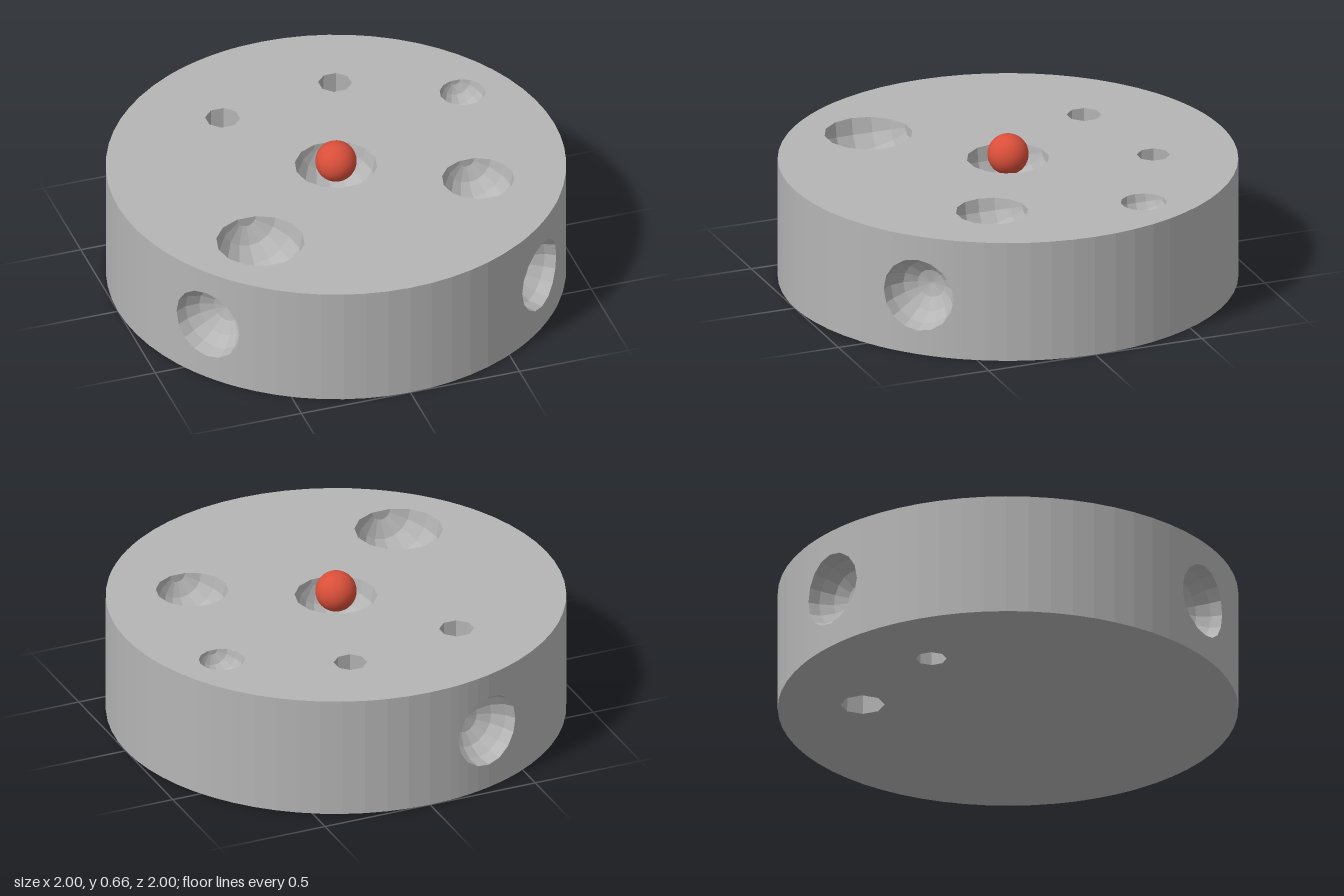
import * as THREE from 'three';

const H = 0.55; // disc height
const SIDES = 64;
const RIM_DENT = { r: 0.165, y: 0.275, n: 16 };
const RIM_DENT_ANGLES = [Math.atan2(0.7, 0.71), Math.atan2(-0.8, 0.6), Math.atan2(-0.3, -0.95)];
// x, z, radius of the bowls sunk into the top
const BOWLS = [[0, 0, 0.18], [-0.5, 0.45, 0.193], [0.55, 0.3, 0.158], [0.7, -0.35, 0.1]];
// x, z, top radius, bottom radius of the tapered through holes
const HOLES = [[0.2, -0.6, 0.073, 0.096], [-0.35, -0.5, 0.076, 0.067]];

const grey = new THREE.MeshStandardMaterial({ color: 0xb5b5b5, flatShading: true, side: THREE.DoubleSide });
grey.name = 'stone grey';
const red = new THREE.MeshStandardMaterial({ color: 0xd94f3a });
red.name = 'ball red';

function add(group, name, geometry, material = grey) {
  const mesh = new THREE.Mesh(geometry, material);
  mesh.name = name;
  group.add(mesh);
  return mesh;
}

// Collects four-cornered faces into one geometry
function quadBuilder() {
  const pos = [];
  return {
    quad(a, b, c, d) {
      for (const p of [a, b, c, a, c, d]) pos.push(...p);
    },
    build() {
      const g = new THREE.BufferGeometry();
      g.setAttribute('position', new THREE.Float32BufferAttribute(pos, 3));
      g.computeVertexNormals();
      return g;
    },
  };
}

const onRim = (a, y) => [Math.sin(a), y, Math.cos(a)];

// Wall columns, each with the gap between lo and hi left open for a dent
function wallNodes() {
  const { r, y, n } = RIM_DENT;
  const half = Math.asin(r);
  const nodes = [];
  for (let i = 0; i <= SIDES; i++) {
    const a = -Math.PI + (i / SIDES) * Math.PI * 2;
    if (RIM_DENT_ANGLES.every((d) => Math.abs(a - d) > half + 0.005)) nodes.push({ a, lo: y, hi: y });
  }
  for (const d of RIM_DENT_ANGLES) {
    for (let k = 0; k <= n / 2; k++) {
      const t = (k / n) * Math.PI * 2;
      const dy = r * Math.sin(t);
      nodes.push({ a: d + Math.asin(r * Math.cos(t)), lo: y - dy, hi: y + dy });
    }
  }
  return nodes.sort((p, q) => p.a - q.a);
}

function wallGeometry(nodes) {
  const b = quadBuilder();
  for (let i = 0; i < nodes.length - 1; i++) {
    const p = nodes[i], q = nodes[i + 1];
    b.quad(onRim(p.a, 0), onRim(q.a, 0), onRim(q.a, q.lo), onRim(p.a, p.lo));
    b.quad(onRim(p.a, p.hi), onRim(q.a, q.hi), onRim(q.a, H), onRim(p.a, H));
  }
  return b.build();
}

// Faceted hollow in the wall, facing +z; its rim follows the wall
function rimDentGeometry() {
  const { r, y, n } = RIM_DENT, rings = 4;
  const point = (k, j) => {
    const t = (k / n) * Math.PI * 2, e = (j / rings) * Math.PI / 2;
    const x = r * Math.cos(t) * Math.cos(e);
    return [x, y + r * Math.sin(t) * Math.cos(e), j === 0 ? Math.sqrt(1 - x * x) : 1 - r * Math.sin(e)];
  };
  const b = quadBuilder();
  for (let j = 0; j < rings; j++) {
    for (let k = 0; k < n; k++) b.quad(point(k, j), point(k + 1, j), point(k + 1, j + 1), point(k, j + 1));
  }
  return b.build();
}

// Profile of a faceted sphere with flat ends: [radius, height along its axis]
function bowlProfile(r, rings = 7) {
  const pts = [];
  for (let i = 0; i < rings; i++) {
    const t = ((i + 0.5) / rings) * Math.PI;
    pts.push([r * Math.sin(t), -r * Math.cos(t)]);
  }
  return pts;
}

// Half sphere below the top face, with its axis along z
function bowlGeometry(r) {
  const ring = bowlProfile(r).map(([x, y]) => new THREE.Vector2(x, y));
  const end = ring[0].y;
  const profile = [new THREE.Vector2(0, end), ...ring, new THREE.Vector2(0, -end)];
  return new THREE.LatheGeometry(profile, 8, -Math.PI / 2, Math.PI).rotateX(Math.PI / 2);
}

const bowlOutline = (x, z, r) => {
  const right = bowlProfile(r).map(([u, v]) => [x + u, z + v]);
  const left = bowlProfile(r).reverse().map(([u, v]) => [x - u, z + v]);
  return [...right, ...left];
};

const holeOutline = (x, z, r) => Array.from({ length: 8 }, (_, i) => {
  const a = ((i + 0.5) / 8) * Math.PI * 2;
  return [x + r * Math.sin(a), z + r * Math.cos(a)];
});

// Flat round face with cut-outs; dir is 1 for upward, -1 for downward
function faceGeometry(nodes, outlines, dir) {
  const flat = (pts) => pts.map(([x, z]) => new THREE.Vector2(x, -dir * z));
  const shape = new THREE.Shape(flat(nodes.slice(0, -1).map(({ a }) => [Math.sin(a), Math.cos(a)])));
  for (const o of outlines) shape.holes.push(new THREE.Path(flat(o)));
  return new THREE.ShapeGeometry(shape).rotateX(-dir * Math.PI / 2);
}

export function createModel() {
  const model = new THREE.Group();
  model.name = 'dentedDisc';
  const nodes = wallNodes();

  // Disc shell
  add(model, 'discWall', wallGeometry(nodes));
  const topCuts = [
    ...BOWLS.map(([x, z, r]) => bowlOutline(x, z, r)),
    ...HOLES.map(([x, z, r]) => holeOutline(x, z, r)),
  ];
  add(model, 'discTop', faceGeometry(nodes, topCuts, 1)).position.y = H;
  add(model, 'discBottom', faceGeometry(nodes, HOLES.map(([x, z, , r]) => holeOutline(x, z, r)), -1));

  // Hollows in the wall
  for (const a of RIM_DENT_ANGLES) add(model, 'rimDent', rimDentGeometry()).rotation.y = a;

  // Bowls in the top
  for (const [x, z, r] of BOWLS) add(model, 'topBowl', bowlGeometry(r)).position.set(x, H, z);

  // Through holes
  for (const [x, z, top, bottom] of HOLES) {
    const tube = new THREE.CylinderGeometry(top, bottom, H, 8, 1, true, Math.PI / 8);
    add(model, 'throughHole', tube).position.set(x, H / 2, z);
  }

  // Ball above the middle bowl
  add(model, 'ball', new THREE.SphereGeometry(0.09, 32, 24), red).position.y = 0.57;
  return model;
}
